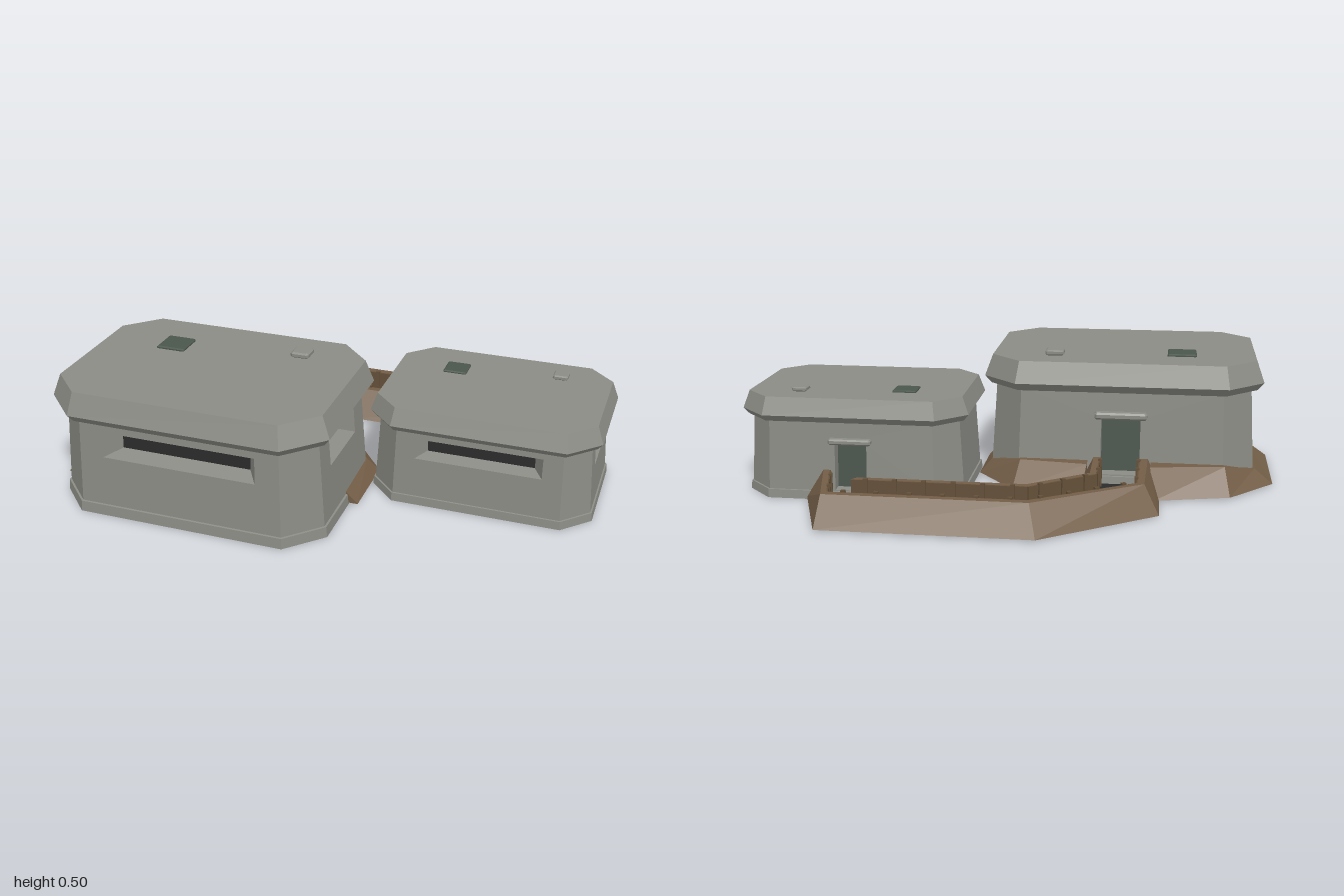
import * as THREE from 'three';

const mat = (name, color, side = THREE.FrontSide) => {
  const m = new THREE.MeshStandardMaterial({ color, side });
  m.name = name;
  return m;
};

// Flat-shaded geometry from a list of quads (corners counter-clockwise)
function quadGeometry(quads) {
  const pos = [];
  for (const [a, b, c, d] of quads) for (const p of [a, b, c, a, c, d]) pos.push(p.x, p.y, p.z);
  const g = new THREE.BufferGeometry();
  g.setAttribute('position', new THREE.Float32BufferAttribute(pos, 3));
  g.computeVertexNormals();
  return g;
}

// Chamfered rectangle at height y, starting on the front edge
function ring(hx, hz, chamfer, inset, y) {
  const x = hx - inset, z = hz - inset, c = Math.max(chamfer - 0.586 * inset, 0.001);
  return [[c - x, z], [x - c, z], [x, z - c], [x, c - z], [x - c, -z], [c - x, -z], [-x, c - z], [-x, z - c]]
    .map(([px, pz]) => new THREE.Vector3(px, y, pz));
}

function bandQuads(lower, upper, skip = []) {
  return lower.map((p, i) => [p, lower[(i + 1) % 8], upper[(i + 1) % 8], upper[i]]).filter((q, i) => !skip.includes(i));
}

const capQuads = ([a, b, c, d, e, f, g, h]) => [[a, b, c, d], [a, d, e, h], [h, e, f, g]];

// Closed chamfered block through several [inset, y] levels
function block(hx, hz, chamfer, levels) {
  const rings = levels.map(([inset, y]) => ring(hx, hz, chamfer, inset, y));
  const quads = capQuads([...rings[0]].reverse()).concat(capQuads(rings[rings.length - 1]));
  for (let i = 0; i + 1 < rings.length; i++) quads.push(...bandQuads(rings[i], rings[i + 1]));
  return quadGeometry(quads);
}

// Wall panel with a splayed recess; returns the wall quads and the plate at the back of the recess
function openingPanel([a, b, c, d], { half, y0, y1, depth, dx, dy }) {
  const dir = b.clone().sub(a).normalize();
  const inward = dir.clone().cross(new THREE.Vector3(0, -1, 0)).normalize().multiplyScalar(depth);
  const low = a.clone().lerp(b, 0.5), high = d.clone().lerp(c, 0.5);
  const at = (s, y) => low.clone().lerp(high, (y - low.y) / (high.y - low.y)).addScaledVector(dir, s);
  const outer = [a, b, c, d];
  const hole = [at(-half, y0), at(half, y0), at(half, y1), at(-half, y1)];
  const h = half - dx;
  const back = [at(-h, y0 + dy), at(h, y0 + dy), at(h, y1 - dy), at(-h, y1 - dy)];
  back.forEach(p => p.add(inward));
  const quads = [];
  for (let i = 0; i < 4; i++) {
    const j = (i + 1) % 4;
    quads.push([outer[i], outer[j], hole[j], hole[i]], [hole[i], hole[j], back[j], back[i]]);
  }
  return { quads, back };
}

export function createModel() {
  const model = new THREE.Group();
  const concrete = mat('concrete', 0x8b8c85);
  const dark = mat('dark interior', 0x2b2b2c);
  const steel = mat('green steel', 0x4a564c);
  const earth = mat('earth', 0x735e47, THREE.DoubleSide);
  const wood = mat('wood', 0x645039, THREE.DoubleSide);

  const add = (parent, name, geometry, material, x = 0, y = 0, z = 0) => {
    const m = new THREE.Mesh(geometry, material);
    m.name = name;
    m.position.set(x, y, z);
    parent.add(m);
    return m;
  };

  function bunker(name, x, z, s) {
    const g = new THREE.Group();
    g.name = name;
    const hx = 0.538, hz = 0.382, ch = 0.135;
    add(g, 'plinth', block(hx, hz, ch, [[0.015, 0], [0.019, 0.04], [0.04, 0.044]]), concrete);

    // Sloping walls with firing slits in front and on one side, and a rear doorway
    const bottom = ring(hx, hz, ch, 0.026, 0.04), top = ring(hx, hz, ch, 0.046, 0.375);
    const slit = { y0: 0.232, y1: 0.331, depth: 0.07, dx: 0.045, dy: 0.012 };
    const openings = {
      0: { ...slit, half: 0.295, label: 'frontSlit' },
      2: { ...slit, half: 0.135, dx: 0.02, label: 'sideSlit' },
      4: { half: 0.075, y0: 0.047, y1: 0.265, depth: 0.055, dx: 0, dy: 0, label: 'door' },
    };
    const walls = bandQuads(bottom, top, [0, 2, 4]);
    for (const [key, o] of Object.entries(openings)) {
      const i = Number(key);
      const panel = openingPanel([bottom[i], bottom[i + 1], top[i + 1], top[i]], o);
      walls.push(...panel.quads);
      add(g, o.label, quadGeometry([panel.back]), o.label === 'door' ? steel : dark);
    }
    add(g, 'walls', quadGeometry(walls), concrete);
    add(g, 'doorLintel', block(0.1, 0.025, 0.008, [[0.006, 0], [0, 0.007], [0, 0.02], [0.006, 0.027]]), concrete, 0, 0.267, -0.349);

    // Roof slab with bevelled rim, hatch and vent
    add(g, 'roof', block(hx, hz, ch, [[0.024, 0.37], [0, 0.4], [0.03, 0.483]]), concrete);
    add(g, 'hatch', block(0.056, 0.056, 0.004, [[0, 0], [0, 0.006], [0.006, 0.01]]), steel, -0.225, 0.482, -0.141);
    add(g, 'vent', block(0.036, 0.036, 0.008, [[0.008, 0], [0, 0.006], [0, 0.017], [0.007, 0.022]]), concrete, 0.267, 0.482, -0.205);
    g.scale.setScalar(s);
    g.position.set(x, 0, z);
    model.add(g);
  }
  bunker('largeBunker', -0.413, 0.306, 1);
  bunker('smallBunker', 0.568, -0.06, 0.8);

  // Earth bank: toe, crest and inner lines of [x, z, height] points
  function bank(name, toe, crest, inner) {
    const v = (l, ground) => l.map(([x, z, y = 0.113]) => new THREE.Vector3(x, ground ? 0.006 : y, z));
    const lines = [v(toe, true), v(crest), v(inner), v(inner, true)];
    const quads = [];
    const n = toe.length - 1;
    for (let k = 0; k < 4; k++) {
      const p = lines[k], q = lines[(k + 1) % 4];
      for (let i = 0; i < n; i++) quads.push([p[i + 1], p[i], q[i], q[i + 1]]);
    }
    const [t, c, u, b] = lines;
    quads.push([t[0], b[0], u[0], c[0]], [t[n], c[n], u[n], b[n]]);
    add(model, name, quadGeometry(quads), earth);
  }

  const outerWall = [[-0.49, -0.03], [-0.49, -0.35], [-0.12, -0.592], [0.588, -0.592], [0.648, -0.34]];
  const innerWall = [[0.54, -0.44], [-0.105, -0.44], [-0.335, -0.26], [-0.335, -0.03]];
  bank('outerTrenchBank',
    [[-0.565, -0.03], [-0.57, -0.39], [-0.16, -0.692], [0.612, -0.692], [0.74, -0.34]],
    [[-0.52, -0.03], [-0.515, -0.36], [-0.13, -0.62], [0.602, -0.62], [0.672, -0.34]],
    outerWall);
  bank('innerTrenchBank',
    [[0.49, -0.34], [-0.09, -0.34], [-0.26, -0.2], [-0.26, -0.03]],
    [[0.522, -0.415], [-0.096, -0.415], [-0.312, -0.25], [-0.312, -0.03]],
    innerWall);
  bank('leftBunkerBank',
    [[-1, 0.44], [-1, 0.04], [-0.83, -0.152], [-0.55, -0.225]],
    [[-0.93, 0.44, 0.055], [-0.93, 0.06, 0.06], [-0.81, -0.07, 0.1], [-0.53, -0.11, 0.1]],
    [[-0.9, 0.44, 0.055], [-0.9, 0.07, 0.06], [-0.8, -0.03, 0.1], [-0.53, -0.03, 0.1]]);
  bank('rightBunkerBank',
    [[-0.27, -0.182], [-0.01, -0.155], [0.145, 0.04], [0.145, 0.31]],
    [[-0.29, -0.1, 0.1], [-0.03, -0.07, 0.1], [0.1, 0.06, 0.06], [0.1, 0.31, 0.05]],
    [[-0.29, -0.03, 0.1], [-0.03, -0.03, 0.1], [0.07, 0.07, 0.06], [0.07, 0.31, 0.05]]);

  // Trench floor with an earth underside, running in under the small bunker's doorway
  const floorLine = [...outerWall, [0.49, -0.34], ...innerWall];
  const floorShape = new THREE.Shape(floorLine.map(([x, z]) => new THREE.Vector2(x, -z)));
  const floor = new THREE.ShapeGeometry(floorShape).rotateX(-Math.PI / 2);
  add(model, 'trenchFloor', floor, dark, 0, 0.012, 0);
  add(model, 'trenchUnderside', floor, earth, 0, 0.006, 0);

  // Timber lining with evenly spaced posts
  for (const line of [outerWall, innerWall]) {
    for (let i = 0; i + 1 < line.length; i++) {
      const [x0, z0] = line[i], [x1, z1] = line[i + 1];
      const len = Math.hypot(x1 - x0, z1 - z0), angle = Math.atan2(z0 - z1, x1 - x0);
      const run = new THREE.Group();
      run.name = 'trenchLining';
      run.position.set(x0, 0, z0);
      run.rotation.y = angle;
      add(run, 'boards', new THREE.BoxGeometry(len, 0.102, 0.006), wood, len / 2, 0.061, 0.002);
      const count = Math.max(2, Math.round(len / 0.115));
      for (let k = 0; k < count; k++) {
        add(run, 'post', new THREE.BoxGeometry(0.016, 0.11, 0.014), wood, (k + 0.5) * len / count, 0.065, 0.005);
      }
      model.add(run);
    }
  }
  return model;
}
